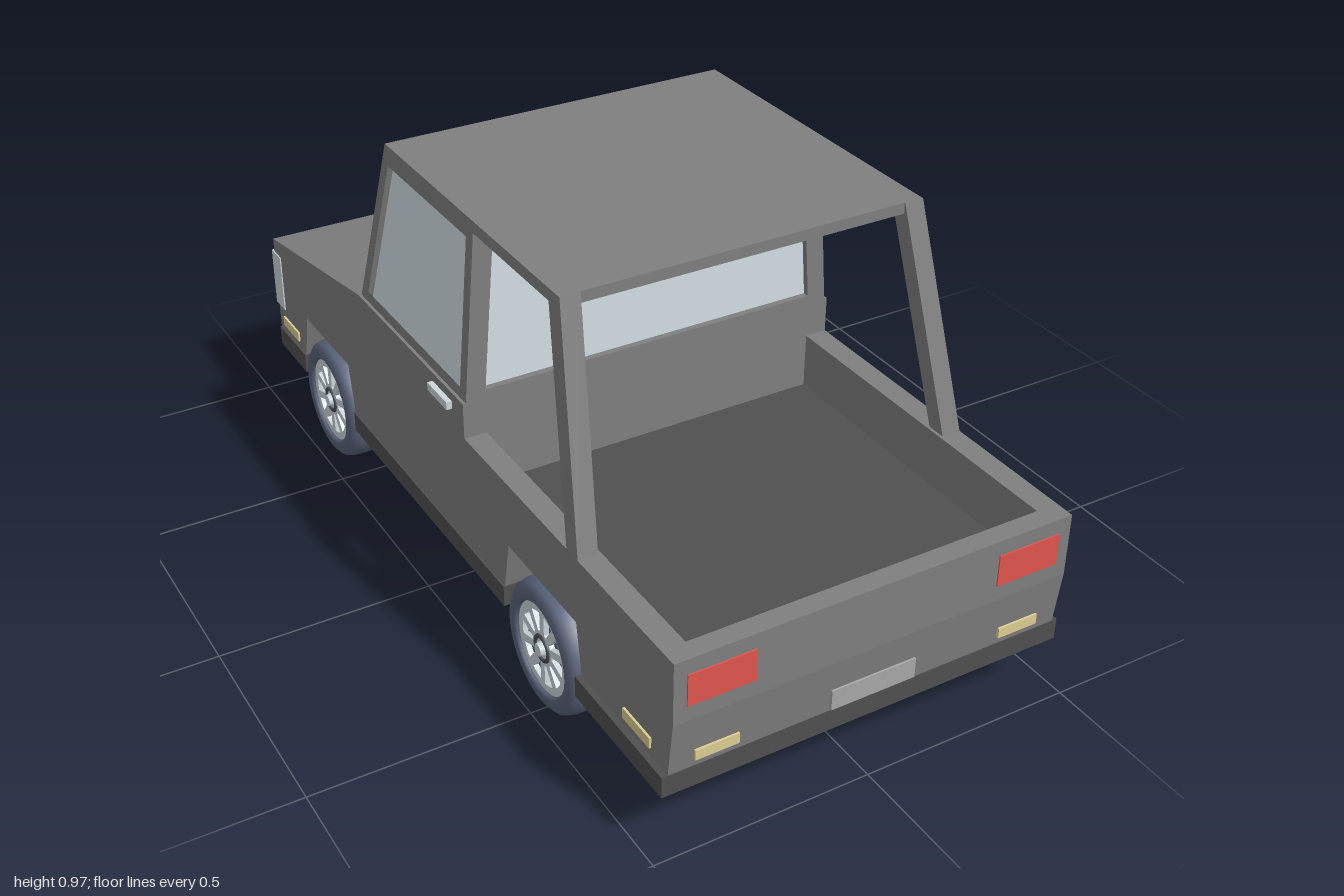
import * as THREE from 'three';

const mat = (color, extra = {}) => new THREE.MeshStandardMaterial({ color, ...extra });
const paint = mat(0x7f7f7f), trim = mat(0x505050), glass = mat(0xd3dfe4), navy = mat(0x3c4358);
const rubber = mat(0x5b647c, { side: THREE.DoubleSide }), chrome = mat(0xccd6da), plateGrey = mat(0xa8a8a8);
const red = mat(0xe0564e), amber = mat(0xdccf92), dark = mat(0x454b52);

const W = 0.462; // half width of the body

function add(parent, name, geometry, material, x = 0, y = 0, z = 0) {
  const mesh = new THREE.Mesh(geometry, material);
  mesh.name = name;
  mesh.position.set(x, y, z);
  parent.add(mesh);
  return mesh;
}

// Box given by its limits
function block(parent, name, material, [x0, x1], [y0, y1], [z0, z1]) {
  return add(parent, name, new THREE.BoxGeometry(x1 - x0, y1 - y0, z1 - z0), material,
    (x0 + x1) / 2, (y0 + y1) / 2, (z0 + z1) / 2);
}

const outline = (pts, Type = THREE.Shape) => new Type(pts.map(p => new THREE.Vector2(...p)));

function extrude(pts, depth, hole) {
  const shape = outline(pts);
  if (hole) shape.holes.push(outline(hole, THREE.Path));
  return new THREE.ExtrudeGeometry(shape, { depth, bevelEnabled: false });
}

// Side profile in (z, y), extruded from x0 to x1
function profile(pts, x0, x1, hole) {
  const flip = list => list && list.map(([z, y]) => [-z, y]);
  return extrude(flip(pts), x1 - x0, flip(hole)).rotateY(Math.PI / 2).translate(x0, 0, 0);
}

function moveVertices(geometry, rule) {
  const p = geometry.attributes.position, v = new THREE.Vector3();
  for (let i = 0; i < p.count; i++) {
    rule(v.fromBufferAttribute(p, i));
    p.setXYZ(i, v.x, v.y, v.z);
  }
  geometry.computeVertexNormals();
  return geometry;
}

// Upper cab leans inwards with height
const taper = geometry => moveVertices(geometry, v => {
  v.x -= Math.sign(v.x) * 0.042 * Math.max(0, (v.y - 0.475) / 0.5);
});

function buildWheel(name) {
  const wheel = new THREE.Group();
  wheel.name = name;
  const section = [[0, -0.05], [0.1, -0.05], [0.112, -0.057], [0.132, -0.056], [0.145, -0.045], [0.15, -0.025],
    [0.15, 0.025], [0.145, 0.045], [0.132, 0.056], [0.112, 0.057], [0.105, 0.052], [0.103, 0.035], [0, 0.033]];
  const tyre = new THREE.LatheGeometry(section.map(p => new THREE.Vector2(...p)), 48);
  add(wheel, 'tyre', tyre.rotateZ(-Math.PI / 2), rubber);

  // Rim with spokes left between wedge-shaped openings
  const rim = new THREE.Shape().absarc(0, 0, 0.104, 0, Math.PI * 2);
  const n = 10;
  for (let i = 0; i < n; i++) {
    const a = i / n * Math.PI * 2, hole = new THREE.Path();
    hole.absarc(0, 0, 0.086, a - 0.2, a + 0.2, false);
    hole.absarc(0, 0, 0.04, a + 0.1, a - 0.1, true);
    hole.closePath();
    rim.holes.push(hole);
  }
  const rimGeo = new THREE.ExtrudeGeometry(rim, { depth: 0.012, bevelEnabled: false, curveSegments: 24 });
  add(wheel, 'rim', rimGeo.rotateY(Math.PI / 2), chrome, 0.036);
  add(wheel, 'hubRing', new THREE.TorusGeometry(0.028, 0.005, 8, 24).rotateY(Math.PI / 2), dark, 0.048);
  add(wheel, 'hubCap', new THREE.CylinderGeometry(0.014, 0.018, 0.014, 16).rotateZ(-Math.PI / 2), chrome, 0.052);
  return wheel;
}

function buildBody(g) {
  // Solid lower body with wheel channels running across
  add(g, 'lowerBody', profile([
    [0.985, 0.2], [1, 0.33], [1, 0.34], [0.15, 0.34], [0.15, 0.56], [-0.395, 0.56], [-0.96, 0.455], [-0.96, 0.2],
    [-0.79, 0.2], [-0.76, 0.32], [-0.5, 0.32], [-0.475, 0.2],
    [0.32, 0.2], [0.345, 0.32], [0.635, 0.32], [0.655, 0.2]], -W, W), paint);

  // Load bed
  for (const s of [-1, 1]) {
    block(g, 'bedSide', paint, s > 0 ? [0.41, W] : [-W, -0.41], [0.34, 0.475], [0.15, 1]);
  }
  block(g, 'tailgate', paint, [-0.41, 0.41], [0.34, 0.475], [0.955, 1]);
  block(g, 'bedFloor', trim, [-0.41, 0.41], [0.338, 0.345], [0.15, 0.955]);

  // Dark sill and floor sections between the wheels
  block(g, 'rearSill', trim, [-0.475, 0.475], [0.15, 0.2], [0.65, 0.985]);
  block(g, 'middleSill', trim, [-0.466, 0.466], [0.15, 0.2], [-0.475, 0.322]);
  block(g, 'frontSill', trim, [-0.466, 0.466], [0.15, 0.2], [-0.96, -0.79]);
}

function buildCab(g) {
  // Side frames: rear post, roof rail, door window surround
  const frame = [[0.645, 0.475], [0.51, 0.975], [-0.28, 0.975], [-0.395, 0.56], [-0.38, 0.475],
    [0.15, 0.475], [0.15, 0.95], [0.47, 0.95], [0.6, 0.475]];
  const opening = [[0.12, 0.585], [0.12, 0.93], [-0.28, 0.93], [-0.37, 0.585]];
  for (const [x0, x1] of [[-W, -W + 0.045], [W - 0.045, W]]) {
    add(g, 'sideFrame', taper(profile(frame, x0, x1, opening)), paint);
  }
  block(g, 'roof', paint, [-0.419, 0.419], [0.95, 0.975], [-0.28, 0.508]);

  // Glazing fills the cab just behind its frames
  add(g, 'cabGlass', taper(profile([[0.135, 0.5], [0.135, 0.955], [-0.272, 0.955], [-0.378, 0.54], [-0.378, 0.5]],
    -W + 0.014, W - 0.014)), glass);

  // Rear window and windscreen surrounds
  const rear = extrude([[-0.45, 0.475], [0.45, 0.475], [0.41, 0.96], [-0.41, 0.96]], 0.03,
    [[-0.41, 0.58], [0.41, 0.58], [0.38, 0.93], [-0.38, 0.93]]);
  add(g, 'rearWindowFrame', rear, paint, 0, 0, 0.12);
  const screen = extrude([[-0.455, 0.555], [0.455, 0.555], [0.42, 0.975], [-0.42, 0.975]], 0.03,
    [[-0.415, 0.59], [0.415, 0.59], [0.382, 0.935], [-0.382, 0.935]]);
  moveVertices(screen, v => { v.z += -0.396 + (v.y - 0.555) * 0.272; });
  add(g, 'windscreenFrame', screen, paint);
}

function buildDetails(g) {
  // Nose
  block(g, 'grille', chrome, [-0.465, 0.465], [0.27, 0.42], [-0.97, -0.915]);
  for (const y of [0.31, 0.345, 0.38]) block(g, 'grilleSlat', dark, [-0.31, 0.31], [y - 0.006, y + 0.006], [-0.975, -0.96]);
  block(g, 'frontBumper', navy, [-0.445, 0.445], [0.165, 0.258], [-0.995, -0.955]);
  block(g, 'frontPlate', plateGrey, [-0.1, 0.1], [0.19, 0.237], [-1, -0.99]);

  // Tail
  block(g, 'rearPlate', plateGrey, [-0.1, 0.1], [0.21, 0.257], [0.97, 0.996]);

  for (const s of [-1, 1]) {
    const span = (a, b) => s > 0 ? [a, b] : [-b, -a];
    const rim = new THREE.CylinderGeometry(0.064, 0.064, 0.022, 32).rotateX(Math.PI / 2);
    add(g, 'headlightRim', rim, dark, s * 0.385, 0.345, -0.976);
    const lens = new THREE.SphereGeometry(0.056, 32, 16).scale(1, 1, 0.2);
    add(g, 'headlightLens', lens, chrome, s * 0.385, 0.345, -0.982);
    block(g, 'tailLight', red, span(0.283, 0.433), [0.367, 0.44], [0.98, 1.003]);
    block(g, 'rearIndicator', amber, span(0.31, 0.408), [0.221, 0.245], [0.97, 0.995]);
    block(g, 'frontIndicator', amber, span(0.31, 0.405), [0.205, 0.229], [-1, -0.99]);
    for (const z of [0.875, -0.875]) {
      block(g, 'sideMarker', amber, span(0.45, 0.467), [0.222, 0.247], [z - 0.05, z + 0.05]);
    }
    block(g, 'doorHandle', chrome, span(0.45, 0.475), [0.52, 0.539], [0, 0.095]);
  }
}

export function createModel() {
  const g = new THREE.Group();
  g.name = 'pickupTruck';
  buildBody(g);
  buildCab(g);
  buildDetails(g);

  // Wheels and axles
  for (const [end, z] of [['rear', 0.49], ['front', -0.63]]) {
    const axle = new THREE.CylinderGeometry(0.022, 0.022, 0.78, 16).rotateZ(Math.PI / 2);
    add(g, end + 'Axle', axle, plateGrey, 0, 0.153, z);
    for (const [side, x] of [['Left', 0.402], ['Right', -0.416]]) {
      const wheel = buildWheel(end + side + 'Wheel');
      wheel.position.set(x, 0.153, z);
      if (x < 0) wheel.rotation.y = Math.PI;
      g.add(wheel);
    }
  }
  return g;
}
